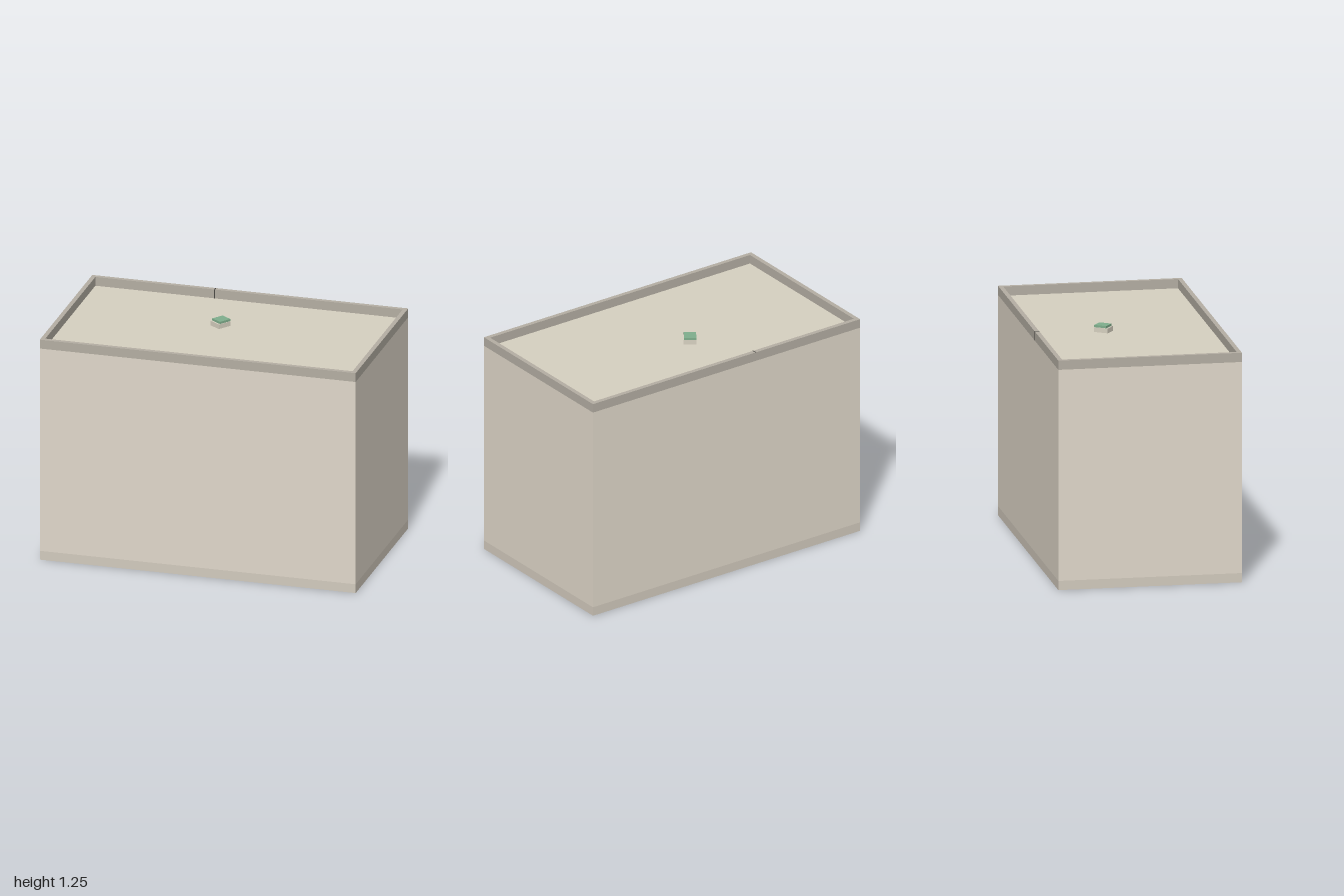
import * as THREE from 'three';

const W = 0.99, L = 1.745, H = 1.25, DECK = 1.2, T = 0.01;
const mat = (color) => new THREE.MeshStandardMaterial({ color });
const wallMat = mat(0xe0d8ca), parapetMat = mat(0xb4aea3), plinthMat = mat(0xd2cabd);
const deckMat = mat(0xd6d0c0), frameMat = mat(0x847d70), glassMat = mat(0x4d5558);
const darkMat = mat(0x4a4844), greenMat = mat(0x7fae8c);

// Shared unit box, scaled for every block-shaped part
const unitBox = new THREE.BoxGeometry(1, 1, 1);
function box(parent, name, material, size, pos) {
  const m = new THREE.Mesh(unitBox, material);
  m.name = name;
  m.scale.set(...size);
  m.position.set(...pos);
  parent.add(m);
  return m;
}

// Rectangular ring of the building's footprint, from y0 to y1
function ring(parent, name, material, thick, y0, y1) {
  const rect = (C, w, l) => {
    const s = new C();
    s.moveTo(-w / 2, -l / 2);
    s.lineTo(w / 2, -l / 2);
    s.lineTo(w / 2, l / 2);
    s.lineTo(-w / 2, l / 2);
    s.closePath();
    return s;
  };
  const shape = rect(THREE.Shape, W, L);
  shape.holes.push(rect(THREE.Path, W - 2 * thick, L - 2 * thick));
  const g = new THREE.ExtrudeGeometry(shape, { depth: y1 - y0, bevelEnabled: false });
  g.rotateX(-Math.PI / 2);
  const m = new THREE.Mesh(g, material);
  m.name = name;
  m.position.y = y0;
  parent.add(m);
}

// Window in facade space: x along the wall, z away from it
function addWindow(parent, x, y) {
  const g = new THREE.Group();
  g.name = 'window';
  g.position.set(x, y, 0);
  box(g, 'windowFrame', frameMat, [0.105, 0.13, 0.006], [0, 0, 0.003]);
  box(g, 'windowPane', glassMat, [0.088, 0.114, 0.004], [0, 0, 0.006]);
  box(g, 'windowSill', frameMat, [0.12, 0.008, 0.014], [0, -0.067, 0.007]);
  parent.add(g);
}

// Entrance with double door, canopy and side posts
function addEntrance(parent) {
  const g = new THREE.Group();
  g.name = 'entrance';
  box(g, 'doorFrame', frameMat, [0.18, 0.16, 0.008], [0, 0.08, 0.004]);
  for (const s of [-1, 1]) {
    box(g, 'doorLeaf', glassMat, [0.075, 0.14, 0.006], [s * 0.04, 0.078, 0.007]);
    box(g, 'doorPost', darkMat, [0.01, 0.19, 0.01], [s * 0.095, 0.095, 0.009]);
  }
  box(g, 'canopy', darkMat, [0.36, 0.018, 0.06], [0, 0.2, 0.03]);
  parent.add(g);
}

// One facade on the inner face of a wall
function addFacade(parent, name, width, cols, angle, dist, hasDoor) {
  const f = new THREE.Group();
  f.name = name;
  f.rotation.y = angle;
  f.position.set(-Math.sin(angle) * dist, 0, -Math.cos(angle) * dist);
  const pitch = width / cols;
  for (let c = 0; c < cols; c++) {
    const x = (c - (cols - 1) / 2) * pitch;
    const isDoor = hasDoor && c === (cols - 1) / 2;
    for (let r = 0; r < 6; r++) {
      if (!(isDoor && r === 0)) addWindow(f, x, 0.115 + r * 0.194);
    }
    // Plinth vents
    if (!isDoor) {
      for (let k = -1.5; k < 2; k++) {
        box(f, 'vent', darkMat, [0.008, 0.008, 0.004], [x + k * 0.028, 0.025, 0.003]);
      }
    }
  }
  if (hasDoor) {
    addEntrance(f);
  }
  // Downpipes dividing the long facades in five
  if (cols > 5) {
    for (let k = 1; k < 5; k++) {
      const y0 = hasDoor ? 0.21 : 0.05;
      box(f, 'downpipe', darkMat, [0.009, DECK - y0, 0.009], [(k / 5 - 0.5) * width, (DECK + y0) / 2, 0.009]);
    }
  }
  parent.add(f);
}

export function createModel() {
  const model = new THREE.Group();
  model.name = 'building';
  const body = new THREE.Group();
  body.name = 'buildingBody';
  body.rotation.y = 0.614;
  model.add(body);

  // Shell
  ring(body, 'plinth', plinthMat, T + 0.001, 0, 0.05);
  ring(body, 'walls', wallMat, T, 0.05, DECK);
  ring(body, 'parapet', parapetMat, 0.024, DECK, H);
  box(body, 'roofDeck', deckMat, [W - 2 * T, 0.008, L - 2 * T], [0, DECK - 0.004, 0]);
  box(body, 'parapetJoint', darkMat, [0.025, 0.05, 0.005], [W / 2 - 0.0125, DECK + 0.0255, -0.19]);

  // Facades
  const dx = W / 2 - T - 0.001, dz = L / 2 - T - 0.001;
  addFacade(body, 'entranceFacade', L - 2 * T, 9, Math.PI / 2, dx, true);
  addFacade(body, 'rearFacade', L - 2 * T, 9, -Math.PI / 2, dx, false);
  addFacade(body, 'endFacade', W - 2 * T, 5, 0, dz, false);
  addFacade(body, 'endFacade', W - 2 * T, 5, Math.PI, dz, false);

  // Roof hatch
  const hatch = new THREE.Group();
  hatch.name = 'roofHatch';
  hatch.position.set(0.053, DECK, -0.095);
  box(hatch, 'hatchBase', deckMat, [0.08, 0.026, 0.07], [0, 0.013, 0]);
  box(hatch, 'hatchGlass', greenMat, [0.07, 0.012, 0.066], [0.004, 0.032, 0]);
  model.add(hatch);

  return model;
}
